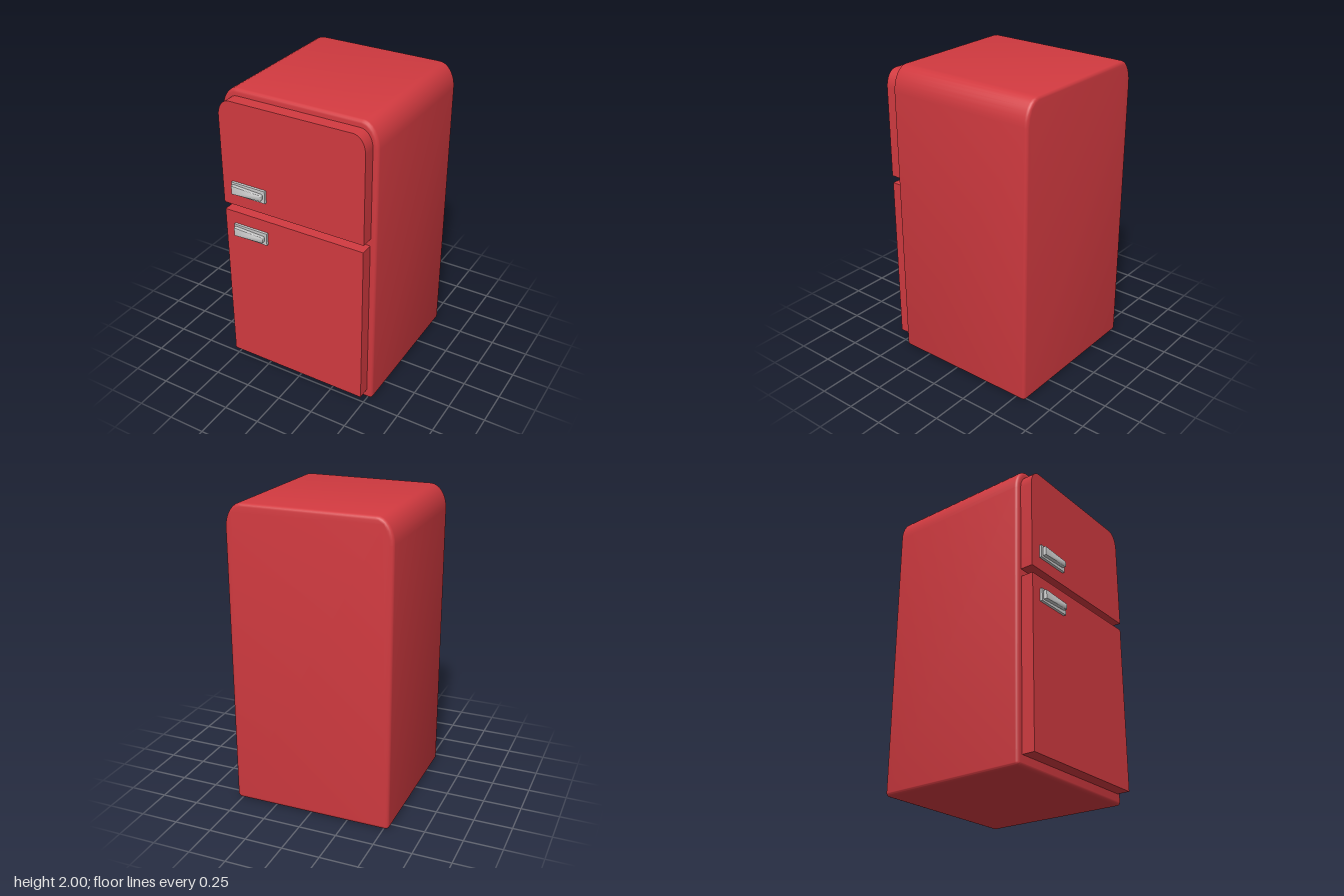
import * as THREE from 'three';
import { toCreasedNormals } from 'three/addons/utils/BufferGeometryUtils.js';

const red = new THREE.MeshStandardMaterial({ color: 0xd23a40 });
const grey = new THREE.MeshStandardMaterial({ color: 0xcccccc });

// Upright panel outline: elliptical top corners (rx, ry), small round bottom corners (rb)
function panelShape(halfW, y0, y1, rx, ry, rb) {
  const s = new THREE.Shape();
  s.moveTo(-halfW + rb, y0);
  s.lineTo(halfW - rb, y0);
  if (rb) s.absellipse(halfW - rb, y0 + rb, rb, rb, -Math.PI / 2, 0, false);
  s.lineTo(halfW, y1 - ry);
  if (rx) s.absellipse(halfW - rx, y1 - ry, rx, ry, 0, Math.PI / 2, false);
  s.lineTo(-halfW + rx, y1);
  if (rx) s.absellipse(-halfW + rx, y1 - ry, rx, ry, Math.PI / 2, Math.PI, false);
  s.lineTo(-halfW, y0 + rb);
  if (rb) s.absellipse(-halfW + rb, y0 + rb, rb, rb, Math.PI, Math.PI * 1.5, false);
  return s;
}

// Extrude between z0 and z1; the bevel stays inside the outline
function slab(name, shape, z0, z1, bevel, material, curveSegments = 4) {
  const geo = new THREE.ExtrudeGeometry(shape, {
    depth: z1 - z0 - 2 * bevel, curveSegments,
    bevelEnabled: bevel > 0, bevelSize: bevel, bevelThickness: bevel,
    bevelOffset: -bevel, bevelSegments: 3,
  });
  geo.translate(0, 0, z0 + bevel);
  const mesh = new THREE.Mesh(toCreasedNormals(geo, 0.8), material);
  mesh.name = name;
  return mesh;
}

// Backplate with a tapering grip
function makeHandle(name, y) {
  const group = new THREE.Group();
  group.name = name;
  const plate = new THREE.Mesh(new THREE.BoxGeometry(0.245, 0.085, 0.025), grey);
  plate.name = 'handlePlate';
  plate.position.set(-0.3025, 0, 0.5395);

  const grip = new THREE.Shape();
  grip.moveTo(-0.412, -0.03);
  grip.lineTo(-0.205, -0.02);
  grip.quadraticCurveTo(-0.195, -0.019, -0.195, -0.01);
  grip.lineTo(-0.195, 0.01);
  grip.quadraticCurveTo(-0.195, 0.019, -0.205, 0.02);
  grip.lineTo(-0.412, 0.03);
  group.add(plate, slab('handleGrip', grip, 0.55, 0.575, 0.003, grey));
  group.position.y = y;
  return group;
}

export function createModel() {
  const fridge = new THREE.Group();
  fridge.name = 'refrigerator';
  fridge.add(
    slab('cabinet', panelShape(0.535, 0, 2, 0.11, 0.16, 0.026), -0.575, 0.45, 0.022, red),
    slab('freezerDoor', panelShape(0.5, 1.25, 1.955, 0.08, 0.11, 0), 0.44, 0.535, 0, red),
    slab('mainDoor', panelShape(0.497, 0.07, 1.2, 0, 0, 0), 0.44, 0.535, 0, red),
    makeHandle('freezerHandle', 1.378),
    makeHandle('mainHandle', 1.075),
  );
  return fridge;
}
